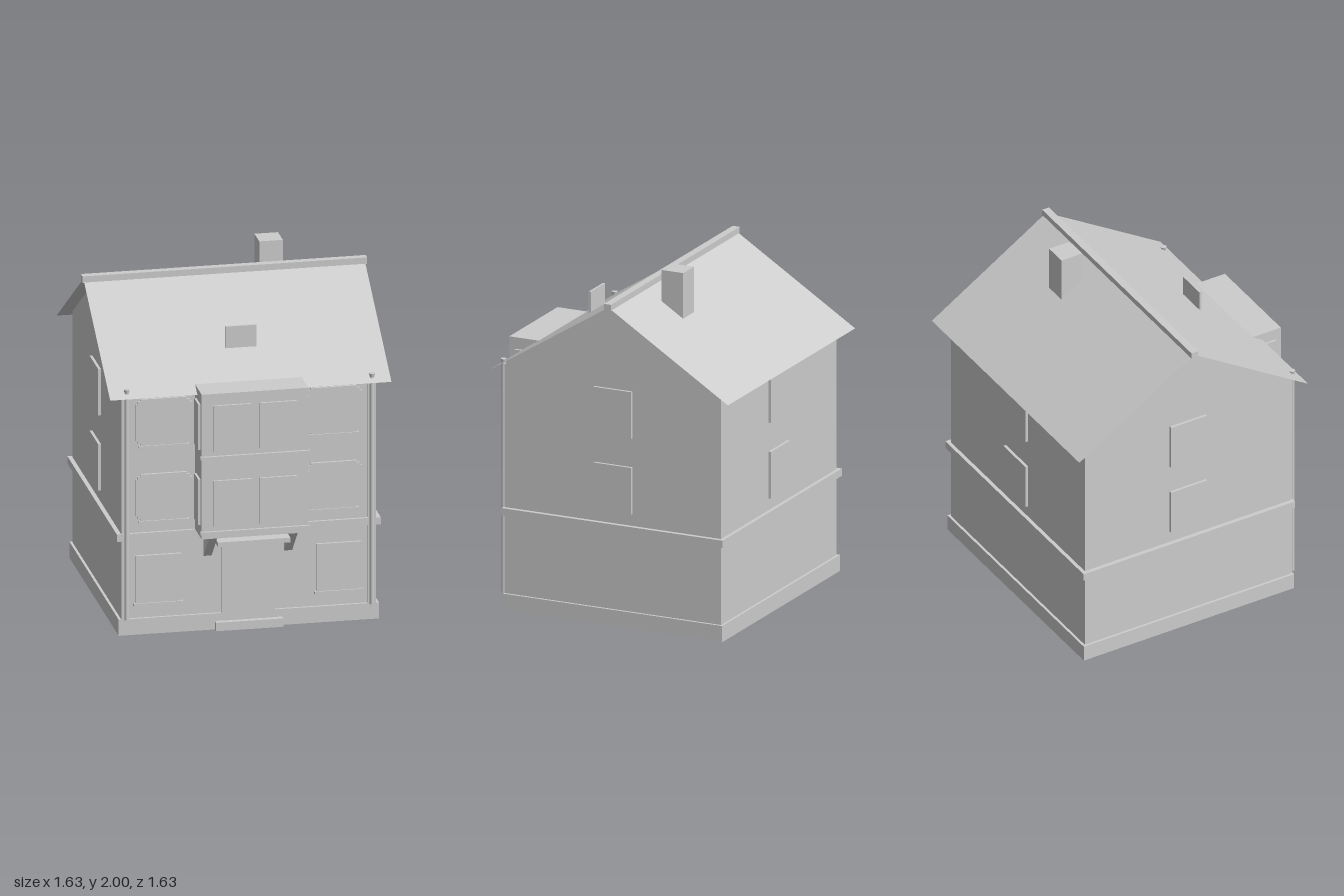
import * as THREE from 'three';

export function createModel() {
  const house = new THREE.Group();
  house.name = 'house';
  const plaster = new THREE.MeshStandardMaterial({ color: 0xcccccc, side: THREE.DoubleSide });
  plaster.name = 'lightGrey';

  const add = (name, geometry) => {
    const mesh = new THREE.Mesh(geometry, plaster);
    mesh.name = name;
    house.add(mesh);
    return mesh;
  };
  // Box given by its limits on each axis
  const box = (name, x0, x1, y0, y1, z0, z1) => {
    const mesh = add(name, new THREE.BoxGeometry(x1 - x0, y1 - y0, z1 - z0));
    mesh.position.set((x0 + x1) / 2, (y0 + y1) / 2, (z0 + z1) / 2);
    return mesh;
  };
  const shapeOf = (points) => new THREE.Shape(points.map(([x, y]) => new THREE.Vector2(x, y)));
  // Profile drawn in z and y, extruded across x
  const across = (name, points, x0, x1) => {
    const g = new THREE.ExtrudeGeometry(shapeOf(points), { depth: x1 - x0, bevelEnabled: false });
    g.rotateY(-Math.PI / 2).translate(x1, 0, 0);
    return add(name, g);
  };

  const W = 0.73, F = 0.61, B = -0.735; // walls: half width, front, back
  const ridgeZ = -0.0675, ridgeY = 1.888, slope = 0.63;
  const roofY = (z) => ridgeY - Math.abs(z - ridgeZ) * slope;

  // Gabled body, just below the roof sheets
  across('walls', [
    [B, 0.095], [F, 0.095], [F, roofY(F) - 0.003], [ridgeZ, ridgeY - 0.003], [B, roofY(B) - 0.003],
  ], -W, W);

  // Plinth: a skirt open underneath, with a lid
  const pz0 = -0.75, pz1 = 0.625, px = 0.745, t = 0.005;
  for (const s of [-1, 1]) {
    box('plinthSide', s * px - (s > 0 ? t : 0), s * px + (s < 0 ? t : 0), 0, 0.095, pz0, pz1);
  }
  box('plinthBack', -px, px, 0, 0.095, pz0, pz0 + t);
  box('plinthFront', -px, px, 0, 0.095, pz1 - t, pz1);
  box('plinthTop', -px + t, px - t, 0.087, 0.095, pz0 + t, pz1 - t);

  // String course around the house
  box('stringCourse', -0.755, 0.755, 0.557, 0.6, -0.757, 0.625);

  // Thin roof sheets with overhanging eaves
  for (const [name, z] of [['frontRoof', 0.68], ['backRoof', -0.815]]) {
    const g = new THREE.BufferGeometry();
    const e = 0.805, y = roofY(z);
    g.setAttribute('position', new THREE.Float32BufferAttribute(
      [-e, y, z, e, y, z, e, ridgeY, ridgeZ, -e, ridgeY, ridgeZ], 3));
    g.setIndex(z > 0 ? [0, 1, 2, 0, 2, 3] : [0, 2, 1, 0, 3, 2]);
    g.computeVertexNormals();
    add(name, g);
  }
  box('ridgeCap', -0.815, 0.815, 1.872, 1.91, -0.088, -0.044);
  box('chimney', 0.225, 0.36, 1.68, 2, -0.315, -0.18);
  box('roofHatch', -0.09, 0.088, 1.58, 1.715, 0.397, 0.41);

  // Door, step and canopy
  box('door', -0.155, 0.15, 0.04, 0.517, F - 0.01, 0.628);
  box('doorStep', -0.195, 0.19, 0, 0.05, 0.6, 0.658);
  box('doorCanopy', -0.21, 0.205, 0.543, 0.57, F - 0.01, 0.785);

  // Bay with its supporting brackets
  box('bay', -0.306, 0.304, 0.6, 1.458, F - 0.01, 0.8);
  for (const x of [-0.233, 0.228]) {
    across('bayBracket', [[F - 0.005, 0.43], [0.775, 0.6], [F - 0.005, 0.6]], x - 0.023, x + 0.023);
  }

  // Front window with small notches in its corners
  const notched = (cx, cy, hw, hh) => {
    const a = 0.013, b = 0.03, pts = [];
    const corner = [[hw, hh - b], [hw - a, hh - b], [hw - a, hh - a], [hw - b, hh - a], [hw - b, hh]];
    for (const [sx, sy] of [[1, 1], [-1, 1], [-1, -1], [1, -1]]) {
      const run = corner.map(([x, y]) => [cx + sx * x, cy + sy * y]);
      pts.push(...(sx * sy > 0 ? run : run.reverse()));
    }
    const g = new THREE.ExtrudeGeometry(shapeOf(pts), { depth: 0.02, bevelEnabled: false });
    g.translate(0, 0, F - 0.005);
    add('frontWindow', g);
  };

  // Two upper floors of windows
  for (const y of [0.67, 1.115]) {
    const top = y + 0.275;
    for (const s of [-1, 1]) {
      // Front flank windows with sills
      const cx = s * 0.486;
      notched(cx, y + 0.138, 0.162, 0.138);
      box('frontSill', cx - 0.143, cx + 0.143, y - 0.015, y + 0.002, F - 0.005, 0.632);
      // Bay front and side windows
      box('bayWindow', s * 0.132 - 0.109, s * 0.132 + 0.109, y + 0.004, top, 0.79, 0.813);
      box('baySideWindow', s * 0.31 - 0.009, s * 0.31 + 0.009, y + 0.004, top, 0.655, 0.765);
      // Gable windows
      box('sideWindow', s * 0.735 - 0.011, s * 0.735 + 0.011, y, top, -0.18, 0.055);
    }
    box('baySill', -0.315, 0.313, y - 0.04, y - 0.025, 0.79, 0.815);
    box('backWindow', -0.11, 0.13, y, top, -0.752, B + 0.005);
  }

  for (const s of [-1, 1]) {
    // Ground floor windows
    const cx = s * 0.518;
    box('groundWindow', cx - 0.131, cx + 0.131, 0.185, 0.465, F - 0.005, 0.625);
    box('groundSill', cx - 0.142, cx + 0.142, 0.17, 0.185, F - 0.005, 0.632);
    // Drainpipes with small hoppers
    const pipe = add('drainpipe', new THREE.CylinderGeometry(0.013, 0.013, 1.36, 16));
    pipe.position.set(s * 0.702, 0.775, 0.638);
    const hopper = add('pipeHopper', new THREE.CylinderGeometry(0.017, 0.012, 0.025, 16));
    hopper.position.set(s * 0.702, 1.45, 0.638);
    box('cornerStrip', s * 0.705 - 0.022, s * 0.705 + 0.022, 0.095, 1.44, F - 0.005, 0.622);
  }

  return house;
}
